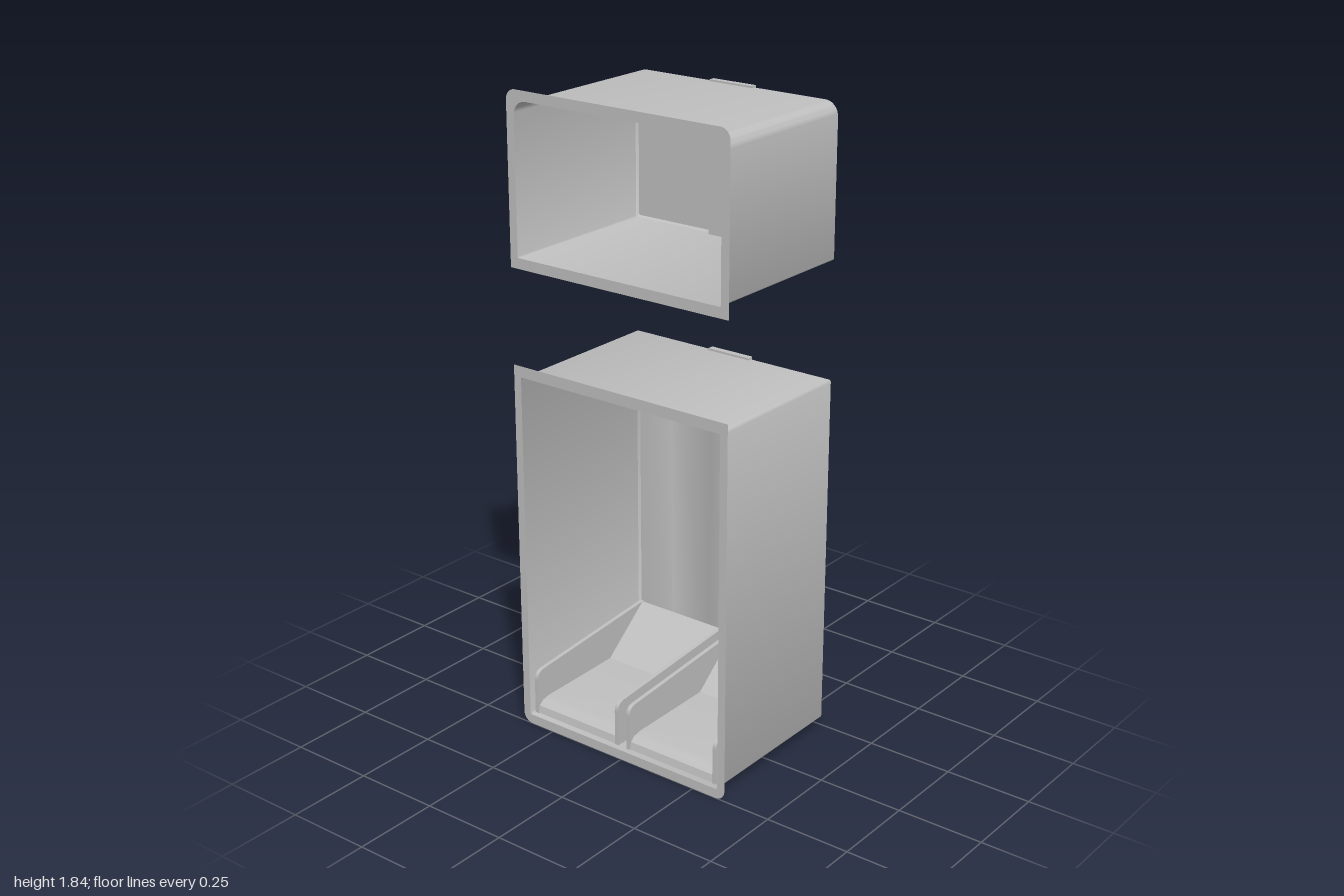
import * as THREE from 'three';
import { toCreasedNormals } from 'three/addons/utils/BufferGeometryUtils.js';

const plastic = new THREE.MeshStandardMaterial({ color: 0xbebebe, side: THREE.DoubleSide });
plastic.name = 'grey plastic';

function part(parent, name, geometry, x = 0, y = 0, z = 0) {
  const mesh = new THREE.Mesh(geometry, plastic);
  mesh.name = name;
  mesh.position.set(x, y, z);
  parent.add(mesh);
  return mesh;
}

// Rectangle from y0 to y1, half width w, with its own radius for top and bottom corners
function roundRect(w, y0, y1, rTop, rBottom, ShapeClass = THREE.Shape) {
  const s = new ShapeClass();
  s.moveTo(-w + rBottom, y0);
  s.lineTo(w - rBottom, y0);
  s.absarc(w - rBottom, y0 + rBottom, rBottom, -Math.PI / 2, 0, false);
  s.lineTo(w, y1 - rTop);
  s.absarc(w - rTop, y1 - rTop, rTop, 0, Math.PI / 2, false);
  s.lineTo(-w + rTop, y1);
  s.absarc(-w + rTop, y1 - rTop, rTop, Math.PI / 2, Math.PI, false);
  s.lineTo(-w, y0 + rBottom);
  s.absarc(-w + rBottom, y0 + rBottom, rBottom, Math.PI, Math.PI * 1.5, false);
  return s;
}

// Thin sheet joining successive rows of points [x, y, z]
function sheet(rows) {
  const n = rows[0].length, index = [];
  for (let r = 0; r < rows.length - 1; r++) {
    for (let i = 0; i < n - 1; i++) {
      const a = r * n + i, b = a + n;
      index.push(a, a + 1, b, a + 1, b + 1, b);
    }
  }
  const g = new THREE.BufferGeometry();
  g.setAttribute('position', new THREE.Float32BufferAttribute(rows.flat(2), 3));
  g.setIndex(index);
  return toCreasedNormals(g, 0.6);
}

// Open-fronted tub: flat front flange and walls with a small chamfer at the back
function tub(parent, outer, inner) {
  const flange = roundRect(...outer);
  flange.holes.push(roundRect(...inner, THREE.Path));
  part(parent, 'flange', new THREE.ShapeGeometry(flange, 8), 0, 0, 0.25);

  const [w, y0, y1, rt, rb] = inner;
  const c = 0.006;
  const ring = (shape, z) => shape.getPoints(8).map(p => [p.x, p.y, z]);
  const back = roundRect(w - c, y0 + c, y1 - c, rt, rb);
  const front = roundRect(w, y0, y1, rt, rb);
  part(parent, 'walls', sheet([ring(front, 0.25), ring(front, -0.244), ring(back, -0.25)]));
  return back;
}

// Bin with sloping back, low rounded front lip and two side walls
function bin(parent, name, x0, x1) {
  const group = new THREE.Group();
  group.name = name;
  parent.add(group);
  const profile = [[-0.24, 0.365], [-0.085, 0.238], [0.19, 0.235], [0.215, 0.23],
    [0.23, 0.218], [0.235, 0.197]];
  part(group, 'binTray', sheet([x0, x1].map(x => profile.map(([z, y]) => [x, y, z]))));

  const side = new THREE.Shape();
  side.moveTo(-0.245, 0.195);
  side.lineTo(0.235, 0.195);
  side.lineTo(0.235, 0.3);
  side.quadraticCurveTo(0.235, 0.325, 0.21, 0.328);
  side.lineTo(-0.245, 0.365);
  const wall = new THREE.ExtrudeGeometry(side, { depth: 0.012, bevelEnabled: false, curveSegments: 6 });
  wall.rotateY(-Math.PI / 2);
  part(group, 'binSide', wall, x0 + 0.012);
  part(group, 'binSide', wall, x1);
}

export function createModel() {
  const model = new THREE.Group();
  model.name = 'cabinetLiners';

  // Upper compartment with a central column on its back wall
  const upper = new THREE.Group();
  upper.name = 'upperLiner';
  model.add(upper);
  const upperBack = tub(upper, [0.357, 1.522, 2.0, 0.03, 0.002], [0.332, 1.552, 1.972, 0.04, 0.004]);
  part(upper, 'backWall', new THREE.ShapeGeometry(upperBack, 8), 0, 0, -0.25);
  part(upper, 'column', new THREE.BoxGeometry(0.138, 0.432, 0.018), -0.001, 1.761, -0.242);

  // Lower compartment, its back wall pressed outward in two vertical bands
  const lower = new THREE.Group();
  lower.name = 'lowerLiner';
  model.add(lower);
  tub(lower, [0.357, 0.165, 1.25, 0.002, 0.03], [0.333, 0.193, 1.218, 0.006, 0.006]);
  const half = [[0.07, -0.25], [0.078, -0.255], [0.207, -0.255], [0.215, -0.25], [0.327, -0.25]];
  const pressed = [...half.map(([x, z]) => [-x, z]).reverse(), ...half];
  part(lower, 'backWall', sheet([0.199, 1.212].map(y => pressed.map(([x, z]) => [x, y, z]))));

  // Control box with a round knob at the top of the back wall
  const control = new THREE.ExtrudeGeometry(roundRect(0.069, 1.066, 1.224, 0.002, 0.015),
    { depth: 0.018, bevelEnabled: false, curveSegments: 6 });
  part(lower, 'controlBox', control, -0.001, 0, -0.251);
  const knob = new THREE.CylinderGeometry(0.016, 0.016, 0.012, 24);
  knob.rotateX(Math.PI / 2);
  part(lower, 'knob', knob, 0.026, 1.172, -0.229);

  // Two bins on the floor
  bin(lower, 'rightBin', -0.327, -0.021);
  bin(lower, 'leftBin', 0.008, 0.317);

  return model;
}
